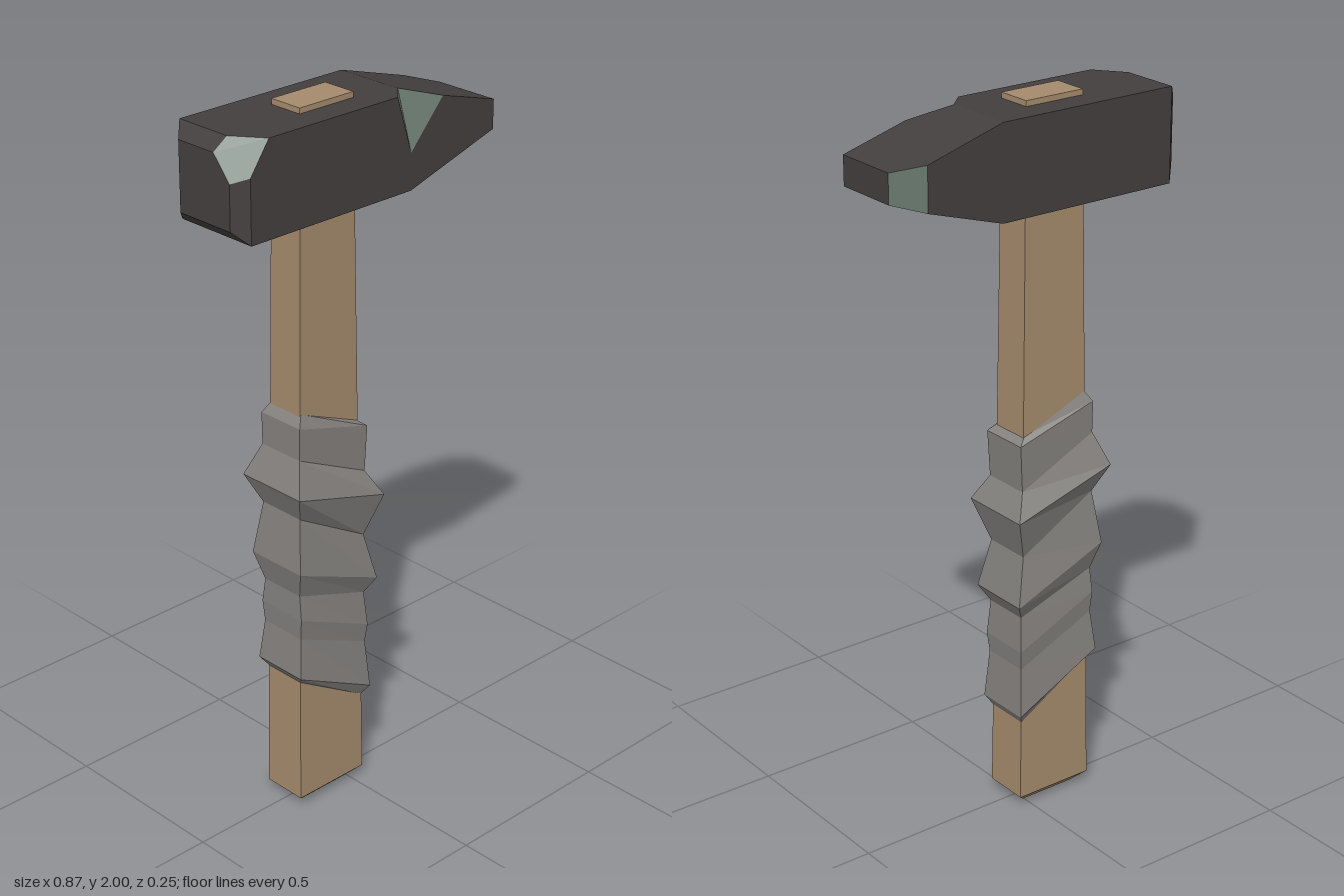
import * as THREE from 'three';

const flat = (color) => new THREE.MeshStandardMaterial({ color });
const wood = flat(0xa58a6c), wrapGrey = flat(0x84817e), iron = flat(0x433f3e), chippedIron = flat(0x66766c);
wood.name = 'wood';
wrapGrey.name = 'wrapGrey';
iron.name = 'iron';
chippedIron.name = 'chippedIron';

// Builds flat faces from convex or star-shaped loops (fanned from the first corner)
function facets(name, loops, material) {
  const pos = [];
  for (const loop of loops)
    for (let i = 1; i < loop.length - 1; i++) pos.push(...loop[0], ...loop[i], ...loop[i + 1]);
  const geo = new THREE.BufferGeometry();
  geo.setAttribute('position', new THREE.Float32BufferAttribute(pos, 3));
  geo.computeVertexNormals();
  const mesh = new THREE.Mesh(geo, material);
  mesh.name = name;
  return mesh;
}

// Lofts four-cornered rings, top to bottom: [left x, left y, right x, right y, half depth]
function loft(name, sections, material) {
  const rings = sections.map(([x0, y0, x1, y1, d]) => [[x0, y0, d], [x1, y1, d], [x1, y1, -d], [x0, y0, -d]]);
  const loops = [rings[0], [...rings[rings.length - 1]].reverse()];
  for (let r = 0; r < rings.length - 1; r++)
    for (let i = 0; i < 4; i++) {
      const j = (i + 1) % 4;
      loops.push([rings[r][i], rings[r + 1][i], rings[r + 1][j], rings[r][j]]);
    }
  return facets(name, loops, material);
}

function createHead() {
  const p = {
    // poll face and the rim behind its bevel
    E: [-0.435, 1.95, 0.035], F: [-0.435, 1.885, 0.09], G: [-0.435, 1.765, 0.09],
    H: [-0.435, 1.765, -0.09], I: [-0.435, 1.95, -0.09],
    A: [-0.34, 1.985, 0.125], B: [-0.4, 1.985, 0.045], C: [-0.4, 1.9, 0.125],
    J: [-0.4, 1.73, 0.125], K: [-0.4, 1.73, -0.125], L: [-0.4, 1.985, -0.125],
    // notch in the front top edge
    P: [0.085, 1.985, 0.125], Q: [0.135, 1.985, 0.075], R: [0.245, 1.953, 0.125], S: [0.135, 1.83, 0.125],
    // start of the taper
    T: [0.135, 1.73, 0.125], U: [0.135, 1.73, -0.125], V: [0.135, 1.985, -0.125],
    // peen tip with its cut back corner
    W: [0.432, 1.82, 0.125], X: [0.432, 1.9, 0.125], Y: [0.432, 1.9, -0.065],
    Z: [0.432, 1.82, -0.065], M: [0.36, 1.92, -0.125], N: [0.36, 1.8, -0.125],
  };
  const faces = (...words) => words.map((w) => [...w].map((c) => p[c]));
  const head = new THREE.Group();
  head.name = 'head';
  head.add(
    facets('headBody', faces('SPACJTWXR', 'QVLBAP', 'QRXYMV', 'TUNZW', 'JKUT', 'LVMNUK', 'WZYX',
      'IHGFE', 'IEBL', 'FGJC', 'GHKJ', 'HILK'), iron),
    facets('pollCornerChip', faces('ABEFC'), chippedIron),
    facets('edgeNotch', faces('PSQ', 'SRQ'), chippedIron),
    facets('peenCornerChip', faces('YZNM'), chippedIron),
  );
  return head;
}

export function createModel() {
  const model = new THREE.Group();
  model.name = 'hammer';

  // Tapered handle, passing through the head, with a bevelled butt
  model.add(loft('handle', [
    [-0.172, 2, 0.007, 2, 0.05],
    [-0.2, 0.03, 0.035, 0.03, 0.065],
    [-0.167, 0, 0.003, 0, 0.035],
  ], wood));

  // Slanted, ridged grip wrapping
  model.add(loft('gripWrap', [
    [-0.18, 1.19, 0.015, 1.11, 0.055],
    [-0.2, 1.16, 0.04, 1.09, 0.072],
    [-0.2, 1.07, 0.033, 0.96, 0.07],
    [-0.235, 0.98, 0.07, 0.89, 0.107],
    [-0.2, 0.9, 0.03, 0.77, 0.07],
    [-0.22, 0.75, 0.06, 0.635, 0.092],
    [-0.2, 0.67, 0.035, 0.59, 0.067],
    [-0.203, 0.6, 0.042, 0.49, 0.076],
    [-0.2, 0.54, 0.037, 0.435, 0.07],
    [-0.212, 0.425, 0.047, 0.295, 0.082],
    [-0.195, 0.4, 0.03, 0.265, 0.062],
  ], wrapGrey));

  model.add(createHead());
  return model;
}
